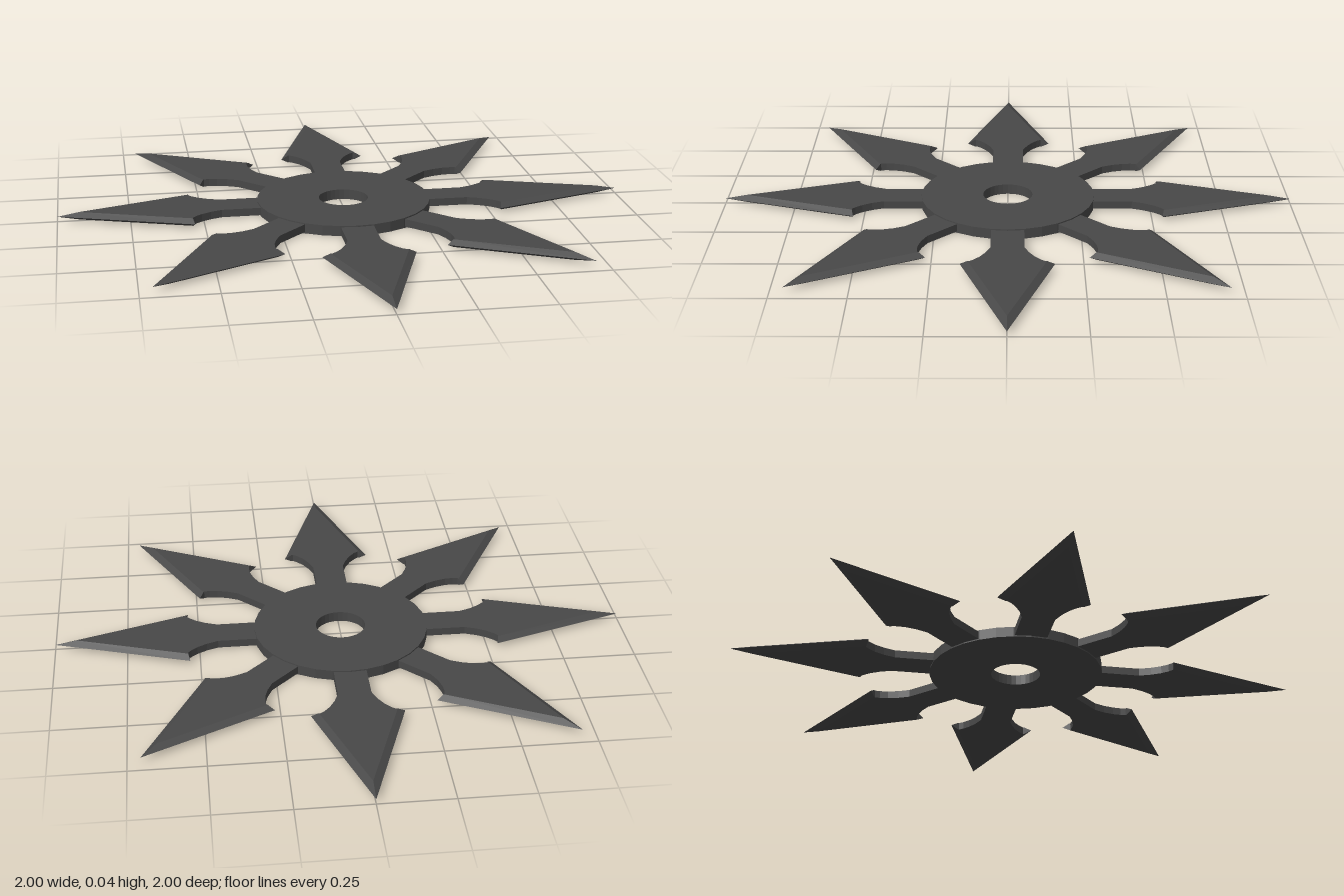
import * as THREE from 'three';

const material = new THREE.MeshStandardMaterial({ color: 0x484848, flatShading: true });
const DISC_HEIGHT = 0.036;
const BLADE_HEIGHT = 0.027;

// Round hub with a centre hole
function hubGeometry() {
  const shape = new THREE.Shape().absarc(0, 0, 0.305, 0, Math.PI * 2, false);
  shape.holes.push(new THREE.Path().absarc(0, 0, 0.087, 0, Math.PI * 2, true));
  const geometry = new THREE.ExtrudeGeometry(shape, {
    depth: DISC_HEIGHT, bevelEnabled: false, curveSegments: 16,
  });
  return geometry.rotateX(-Math.PI / 2);
}

// Arm and arrow-shaped blade along +x; the two long cutting edges are ground to mid height
function bladeGeometry() {
  const half = [
    [0.2, 0.056], [0.435, 0.056], [0.475, 0.071], [0.508, 0.09],
    [0.53, 0.109], [0.542, 0.124], [0.535, 0.155],
  ];
  const outline = [
    ...half.map(([x, y]) => new THREE.Vector2(x, -y)),
    new THREE.Vector2(1, 0),
    ...half.map(([x, y]) => new THREE.Vector2(x, y)).reverse(),
  ];
  const geometry = new THREE.ExtrudeGeometry(new THREE.Shape(outline), {
    depth: BLADE_HEIGHT, steps: 2, bevelEnabled: false,
  });

  // Pull the tip and barbs inwards on both faces, leaving the middle layer sharp
  const p = geometry.attributes.position;
  for (let i = 0; i < p.count; i++) {
    if (Math.abs(p.getZ(i) - BLADE_HEIGHT / 2) < 0.001) continue;
    if (p.getX(i) > 0.99) p.setX(i, 0.925);
    if (Math.abs(p.getY(i)) > 0.15) {
      p.setXY(i, 0.541, Math.sign(p.getY(i)) * 0.129);
    }
  }
  geometry.computeVertexNormals();
  return geometry.rotateX(-Math.PI / 2);
}

export function createModel() {
  const model = new THREE.Group();
  model.name = 'throwingStar';

  const hub = new THREE.Mesh(hubGeometry(), material);
  hub.name = 'hub';
  model.add(hub);

  // Eight identical blades around the hub
  const geometry = bladeGeometry();
  for (let i = 0; i < 8; i++) {
    const blade = new THREE.Mesh(geometry, material);
    blade.name = `blade${i + 1}`;
    blade.position.y = (DISC_HEIGHT - BLADE_HEIGHT) / 2;
    blade.rotation.y = (i * Math.PI) / 4;
    model.add(blade);
  }
  return model;
}
